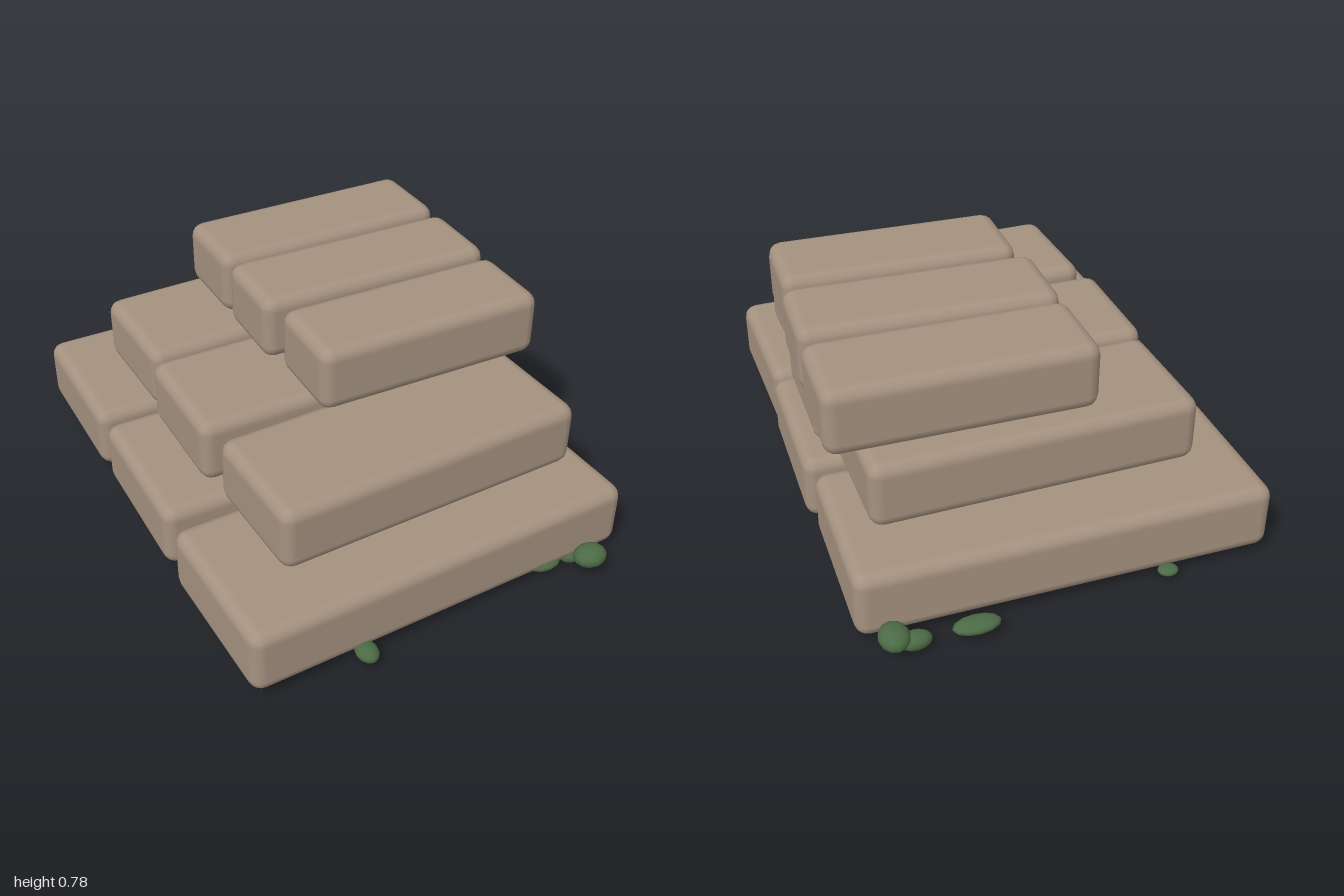
import * as THREE from 'three';
import { RoundedBoxGeometry } from 'three/addons/geometries/RoundedBoxGeometry.js';

export function createModel() {
  const group = new THREE.Group();
  group.name = 'stoneSteps';
  const stone = new THREE.MeshStandardMaterial({ color: 0xa59280 });
  stone.name = 'sandstone';
  const moss = new THREE.MeshStandardMaterial({ color: 0x4c6b45 });
  moss.name = 'moss';

  // Three courses of loosely laid slabs: [x, z, width, depth, turn]
  const courses = [
    { name: 'lowerSlab', y: 0.152, height: 0.237, slabs: [
      [-0.005, -0.607, 1.4, 0.573, -0.011],
      [0, 0.005, 1.415, 0.573, -0.013],
      [-0.005, 0.617, 1.412, 0.573, 0.023]] },
    { name: 'middleSlab', y: 0.407, height: 0.235, slabs: [
      [0.04, -0.477, 1.11, 0.447, 0.014],
      [0.056, 0.008, 1.185, 0.45, -0.01],
      [0.05, 0.497, 1.118, 0.447, 0.027]] },
    { name: 'upperSlab', y: 0.662, height: 0.235, slabs: [
      [0.262, -0.492, 0.885, 0.327, -0.014],
      [0.252, -0.138, 0.88, 0.322, -0.033],
      [0.25, 0.223, 0.832, 0.322, -0.029]] },
  ];
  for (const { name, y, height, slabs } of courses) {
    slabs.forEach(([x, z, width, depth, turn], i) => {
      const slab = new THREE.Mesh(new RoundedBoxGeometry(width, height, depth, 2, 0.046), stone);
      slab.name = name + (i + 1);
      slab.position.set(x, y, z);
      slab.rotation.y = turn;
      group.add(slab);
    });
  }

  // Moss tufts round the foot: [x, y, z, radiusX, radiusY, radiusZ]
  const tufts = [
    [0.54, 0.085, 0.942, 0.06, 0.036, 0.05],
    [-0.318, 0.047, 0.925, 0.037, 0.025, 0.05],
    [0.42, 0.036, 0.85, 0.066, 0.022, 0.045],
    [0.535, 0.034, 0.86, 0.055, 0.031, 0.04],
    [0.335, 0.045, -0.94, 0.08, 0.022, 0.04],
    [0.53, 0.036, -0.933, 0.055, 0.031, 0.034],
    [0.597, 0.078, -0.94, 0.05, 0.036, 0.06],
    [-0.64, 0.06, -0.307, 0.043, 0.025, 0.035],
    [0.195, 0.04, 0.815, 0.036, 0.02, 0.035],
    [0.195, 0.04, -0.655, 0.036, 0.016, 0.03],
    [0.32, 0.042, 0.54, 0.04, 0.017, 0.03],
    [-0.14, 0.042, 0.735, 0.04, 0.018, 0.03],
    [-0.155, 0.042, -0.46, 0.03, 0.015, 0.025],
    [-0.33, 0.042, -0.905, 0.035, 0.014, 0.03],
  ];
  const blob = new THREE.SphereGeometry(1, 12, 8);
  tufts.forEach(([x, y, z, rx, ry, rz], i) => {
    const tuft = new THREE.Mesh(blob, moss);
    tuft.name = 'mossTuft' + (i + 1);
    tuft.position.set(x, y, z);
    tuft.scale.set(rx, ry, rz);
    group.add(tuft);
  });
  return group;
}
